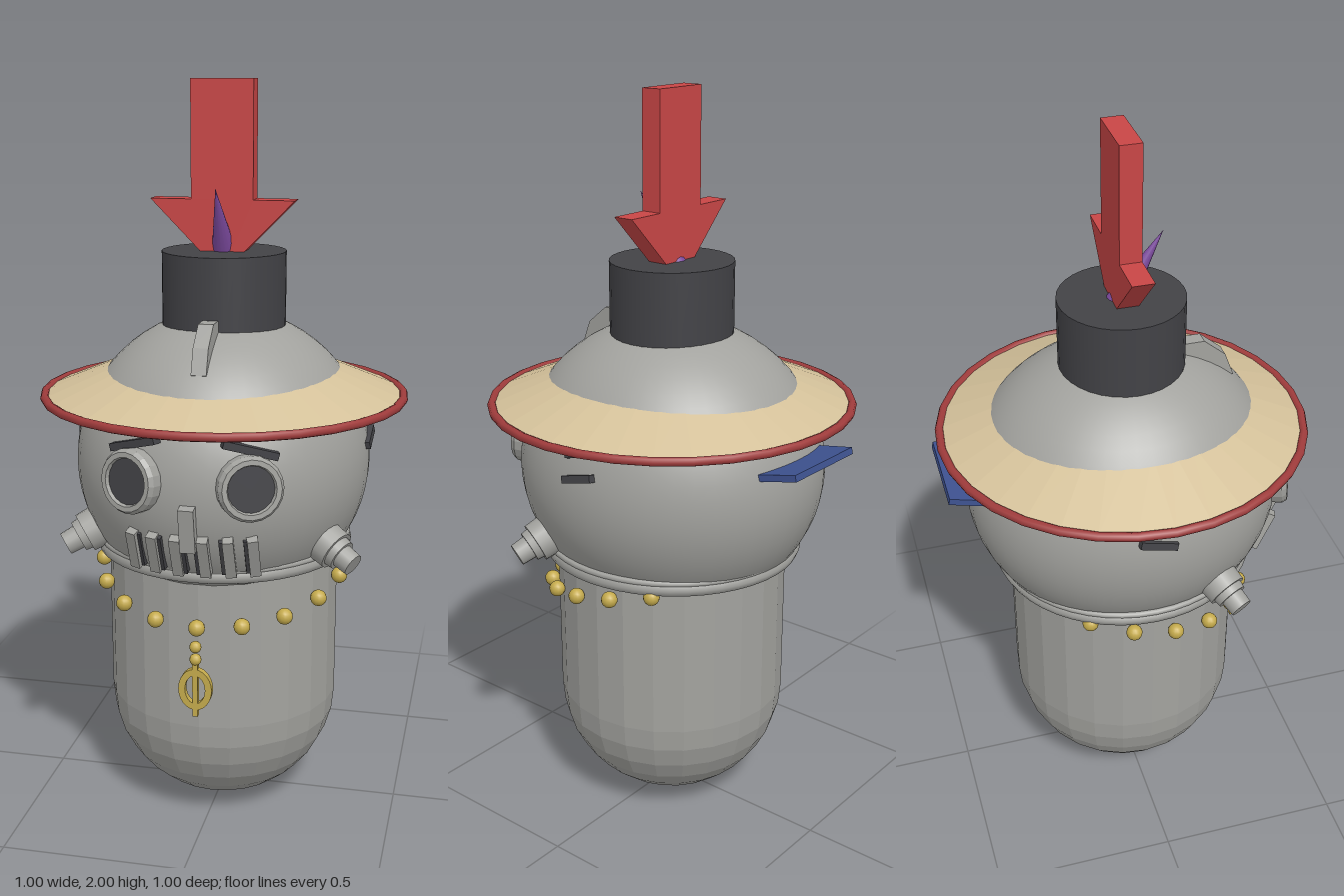
import * as THREE from 'three';

const mat = (name, color, extra = {}) => Object.assign(new THREE.MeshStandardMaterial({ color, ...extra }), { name });

export function createModel() {
  const root = new THREE.Group();
  root.name = 'bombHeadedFigure';
  const grey = mat('stone grey', 0xa2a29e);
  const greyFlat = grey.clone();
  greyFlat.flatShading = true;
  const dark = mat('charcoal', 0x424246);
  const red = mat('arrow red', 0xc84646, { flatShading: true });
  const trim = mat('trim red', 0xa03c3c);
  const tan = mat('straw', 0xd4c19a, { flatShading: true, side: THREE.DoubleSide });
  const gold = mat('gold', 0xc4aa4c);
  const purple = mat('purple', 0x7c4a9e);
  const blue = mat('blue', 0x3e5290);

  const add = (name, geo, material, x = 0, y = 0, z = 0, parent = root) => {
    const m = new THREE.Mesh(geo, material);
    m.name = name;
    m.position.set(x, y, z);
    parent.add(m);
    return m;
  };
  const extrude = (pts, depth) => new THREE.ExtrudeGeometry(
    new THREE.Shape(pts.map(p => new THREE.Vector2(...p))), { depth, bevelEnabled: false }).translate(0, 0, -depth / 2);

  // Head ellipsoid and helpers that find its surface and outward direction
  const R = { x: 0.4, y: 0.4, z: 0.43 }, cy = 1.0;
  const frontZ = (x, y) => R.z * Math.sqrt(1 - (x / R.x) ** 2 - ((y - cy) / R.y) ** 2);
  const sideX = (y, z) => R.x * Math.sqrt(1 - (z / R.z) ** 2 - ((y - cy) / R.y) ** 2);
  const normal = (x, y, z) => new THREE.Vector3(x / R.x ** 2, (y - cy) / R.y ** 2, z / R.z ** 2).normalize();
  const mount = (name, x, y, z) => {
    const g = new THREE.Group();
    g.name = name;
    g.position.set(x, y, z);
    g.lookAt(g.position.clone().add(normal(x, y, z)));
    root.add(g);
    return g;
  };

  // Faceted body with a round bottom
  const profile = [];
  for (let i = 0; i <= 8; i++) {
    const a = i / 8 * Math.PI / 2;
    profile.push(new THREE.Vector2(0.32 * Math.sin(a), 0.325 - 0.32 * Math.cos(a)));
  }
  profile.push(new THREE.Vector2(0.32, 0.79));
  add('body', new THREE.LatheGeometry(profile, 24), greyFlat);

  // Head and collar rings
  add('head', new THREE.SphereGeometry(1, 48, 32), grey, 0, cy, 0).scale.set(R.x, R.y, R.z);
  const ring = (name, r, tube, y, material, sx = 1, sz = 1, seg = 48) => {
    const m = add(name, new THREE.TorusGeometry(r, tube, 8, seg).rotateX(Math.PI / 2), material, 0, y, 0);
    m.scale.set(sx, 1, sz);
  };
  ring('collar', 0.337, 0.022, 0.768, grey, 0.99, 1.015);
  ring('collarUpperRing', 0.347, 0.009, 0.785, grey, 0.99, 1.015);

  // Hat brim, rim and inner band
  add('hatBrim', new THREE.CylinderGeometry(0.28, 0.487, 0.086, 32, 1, true), tan, 0, 1.22, 0);
  ring('hatRim', 0.487, 0.012, 1.176, trim, 1, 1, 32);
  ring('hatBand', 0.386, 0.015, 1.16, purple, 1, 1.07);

  // Cap, flame and downward arrow
  add('cap', new THREE.CylinderGeometry(0.166, 0.166, 0.2, 32), dark, 0, 1.46, 0);
  add('flame', new THREE.ConeGeometry(0.036, 0.22, 16), purple, 0, 1.635, 0.05).rotation.x = 0.55;
  add('arrow', extrude([[-0.083, 2], [-0.083, 1.695], [-0.193, 1.695], [0, 1.5],
    [0.193, 1.695], [0.083, 1.695], [0.083, 2]], 0.058), red);

  // Bent crest on the forehead, drawn in side profile
  add('crest', extrude([[0.15, 1.33], [0.15, 1.39], [0.17, 1.4], [0.22, 1.4], [0.28, 1.35],
    [0.305, 1.285], [0.27, 1.27]].reverse(), 0.04).rotateY(-Math.PI / 2), greyFlat);

  // Paired face parts
  for (const s of [1, -1]) {
    const side = s > 0 ? 'left' : 'right';

    const eye = mount(side + 'Eye', s * 0.15, 1.03, frontZ(0.15, 1.03));
    const rim = new THREE.LatheGeometry([[0.084, -0.03], [0.084, 0.018], [0.076, 0.03], [0.063, 0.03], [0.058, 0.015]]
      .map(p => new THREE.Vector2(...p)), 20).rotateX(Math.PI / 2);
    add('eyeRim', rim, greyFlat, 0, 0, 0, eye);
    add('eyeLens', new THREE.CylinderGeometry(0.06, 0.06, 0.04, 20).rotateX(Math.PI / 2), dark, 0, 0, 0, eye);

    const brow = add(side + 'Brow', new THREE.BoxGeometry(0.145, 0.02, 0.03), dark,
      s * 0.147, 1.122, frontZ(0.147, 1.122));
    brow.rotation.set(0, s * 0.4, -s * 0.27);

    // Bolt on the cheek, stepped outward
    const bolt = mount(side + 'Bolt', s * 0.315, 0.825, 0.185);
    [[0.058, -0.03, 0.035], [0.045, 0.035, 0.055], [0.033, 0.055, 0.095]].forEach(([r, a, b], i) =>
      add('boltStep' + i, new THREE.CylinderGeometry(r * 0.94, r, b - a, 16).rotateX(Math.PI / 2),
        grey, 0, 0, (a + b) / 2, bolt));

    // Two slanted slots on the temple
    for (const y of [1.065, 1.128]) {
      const slot = add(side + 'Slot', new THREE.BoxGeometry(0.024, 0.02, 0.1), dark, s * sideX(y, 0.015), y, -0.015);
      slot.rotation.set(0.25, 0, s * Math.atan2(y - cy, 0.38));
    }

    // Grille bars
    for (const x of [0.035, 0.097, 0.155]) {
      const bar = add(side + 'GrilleBar', new THREE.BoxGeometry(0.028, 0.12, 0.028), greyFlat,
        s * x, 0.84, frontZ(x, 0.84) + 0.006);
      bar.rotation.set(0.42, s * x * 2, 0);
      const shade = add(side + 'GrilleGap', new THREE.BoxGeometry(0.01, 0.11, 0.02), dark,
        s * (x - 0.019), 0.84, frontZ(x, 0.84) + 0.004);
      shade.rotation.copy(bar.rotation);
    }
  }
  add('nose', new THREE.BoxGeometry(0.04, 0.12, 0.04), greyFlat, 0, 0.922, 0.425).rotation.x = 0.18;

  // Tilted fin on the back
  add('backFin', extrude([[-0.14, 0.06], [-0.13, -0.06], [0.13, -0.06], [0.14, 0.06]].reverse(), 0.018)
    .rotateX(Math.PI / 2), blue, 0, 1.092, -0.438).rotation.x = 0.2;

  // Bead necklace, open at the back
  const heights = [0.62, 0.626, 0.64, 0.663, 0.69, 0.716, 0.742];
  const bead = new THREE.SphereGeometry(0.022, 14, 10);
  for (let i = -6; i <= 6; i++) {
    const a = i * Math.PI / 9;
    add('bead', bead, gold, 0.34 * Math.sin(a), heights[Math.abs(i)], 0.34 * Math.cos(a));
  }

  // Plain openwork pendant
  for (const y of [0.573, 0.538]) add('pendantBead', new THREE.SphereGeometry(0.016, 12, 8), gold, 0, y, 0.355);
  const oval = new THREE.Shape().absellipse(0, 0, 0.045, 0.058, 0, Math.PI * 2);
  oval.holes.push(new THREE.Path().absellipse(0, 0, 0.027, 0.04, 0, Math.PI * 2));
  add('pendantFrame', new THREE.ExtrudeGeometry(oval, { depth: 0.018, bevelEnabled: false }), gold, 0, 0.455, 0.346);
  add('pendantBar', new THREE.BoxGeometry(0.014, 0.15, 0.018), gold, 0, 0.453, 0.355);

  return root;
}
